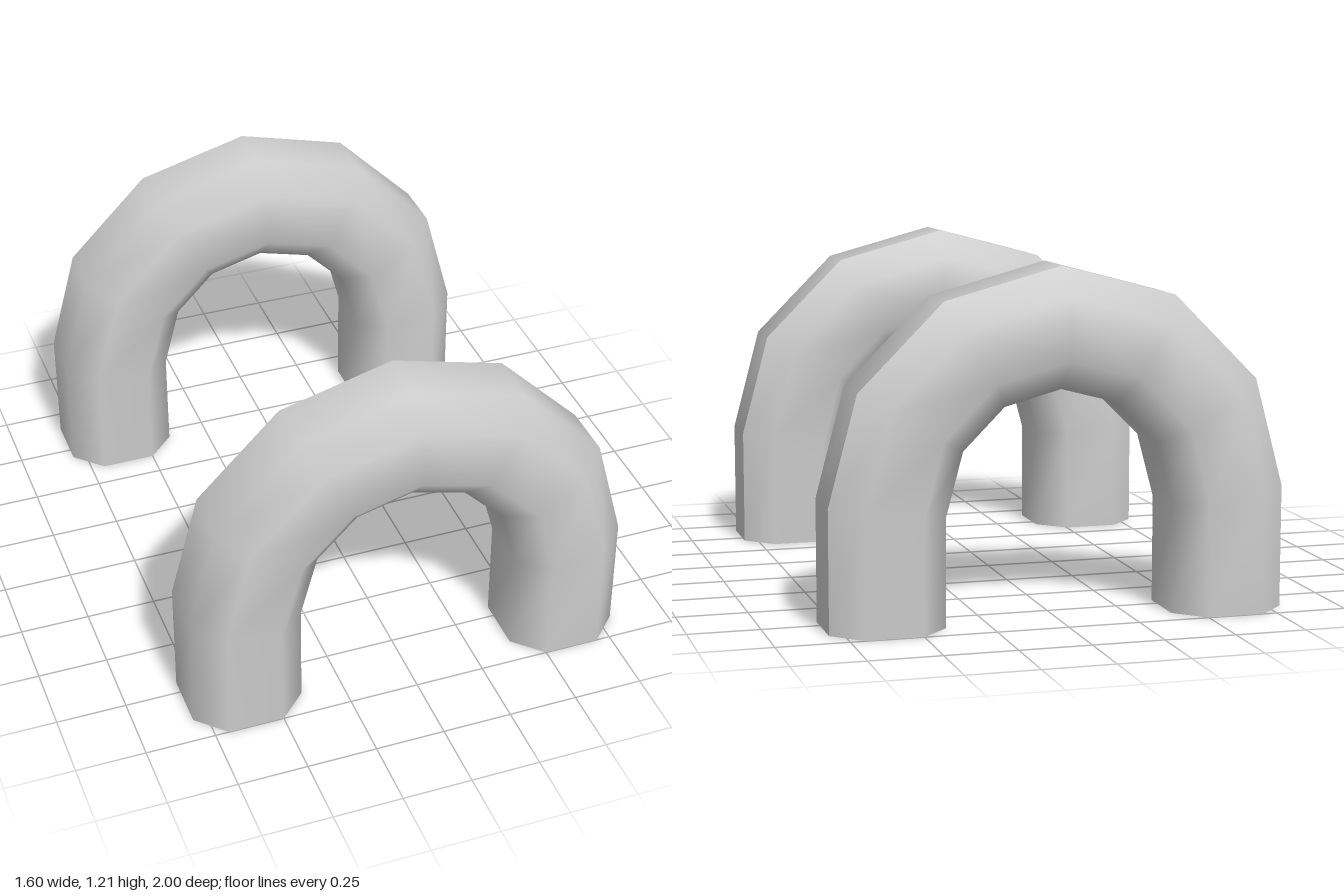
import * as THREE from 'three';

// Chamfered square section: [outward offset, depth offset]
const SECTION = [
  [0.2, -0.1], [0.2, 0.1], [0.1, 0.2], [-0.1, 0.2],
  [-0.2, 0.1], [-0.2, -0.1], [-0.1, -0.2], [0.1, -0.2], [0.2, -0.1],
];

// Mitred rings along the path: leg, half circle in 30 degree steps, leg.
// Each ring has a centre (x, y) and an outward direction (dx, dy).
function archRings() {
  const radius = 0.6, springY = 0.4, step = Math.PI / 6;
  const rings = [{ x: radius, y: 0, dx: 1, dy: 0 }];
  for (let i = 0; i <= 6; i++) {
    const a = i * step;
    const atLeg = i === 0 || i === 6;
    const mitre = 1 / Math.cos(step / 2);
    rings.push({
      x: radius * Math.cos(a),
      y: springY + radius * Math.sin(a),
      dx: atLeg ? Math.cos(a) : Math.cos(a) * mitre,
      dy: atLeg ? Math.tan(step / 4) : Math.sin(a) * mitre,
    });
  }
  rings.push({ x: -radius, y: 0, dx: -1, dy: 0 });
  return rings;
}

// Open-ended tube with smooth normals and one lengthwise seam
function archGeometry() {
  const rings = archRings(), n = SECTION.length;
  const positions = [], indices = [];
  rings.forEach((r, i) => {
    SECTION.forEach(([u, w], j) => {
      positions.push(r.x + r.dx * u, r.y + r.dy * u, w);
      if (i < rings.length - 1 && j < n - 1) {
        const a = i * n + j, b = a + 1, c = a + n, d = c + 1;
        indices.push(a, c, b, b, c, d);
      }
    });
  });
  const geometry = new THREE.BufferGeometry();
  geometry.setAttribute('position', new THREE.Float32BufferAttribute(positions, 3));
  geometry.setIndex(indices);
  geometry.computeVertexNormals();
  return geometry;
}

export function createModel() {
  const group = new THREE.Group();
  group.name = 'arches';
  const material = new THREE.MeshStandardMaterial({ color: 0xcccccc, side: THREE.DoubleSide });
  const geometry = archGeometry();
  // Matching arches at the front and back
  for (const [name, z] of [['frontArch', 0.8], ['backArch', -0.8]]) {
    const arch = new THREE.Mesh(geometry, material);
    arch.name = name;
    arch.position.z = z;
    group.add(arch);
  }
  return group;
}
